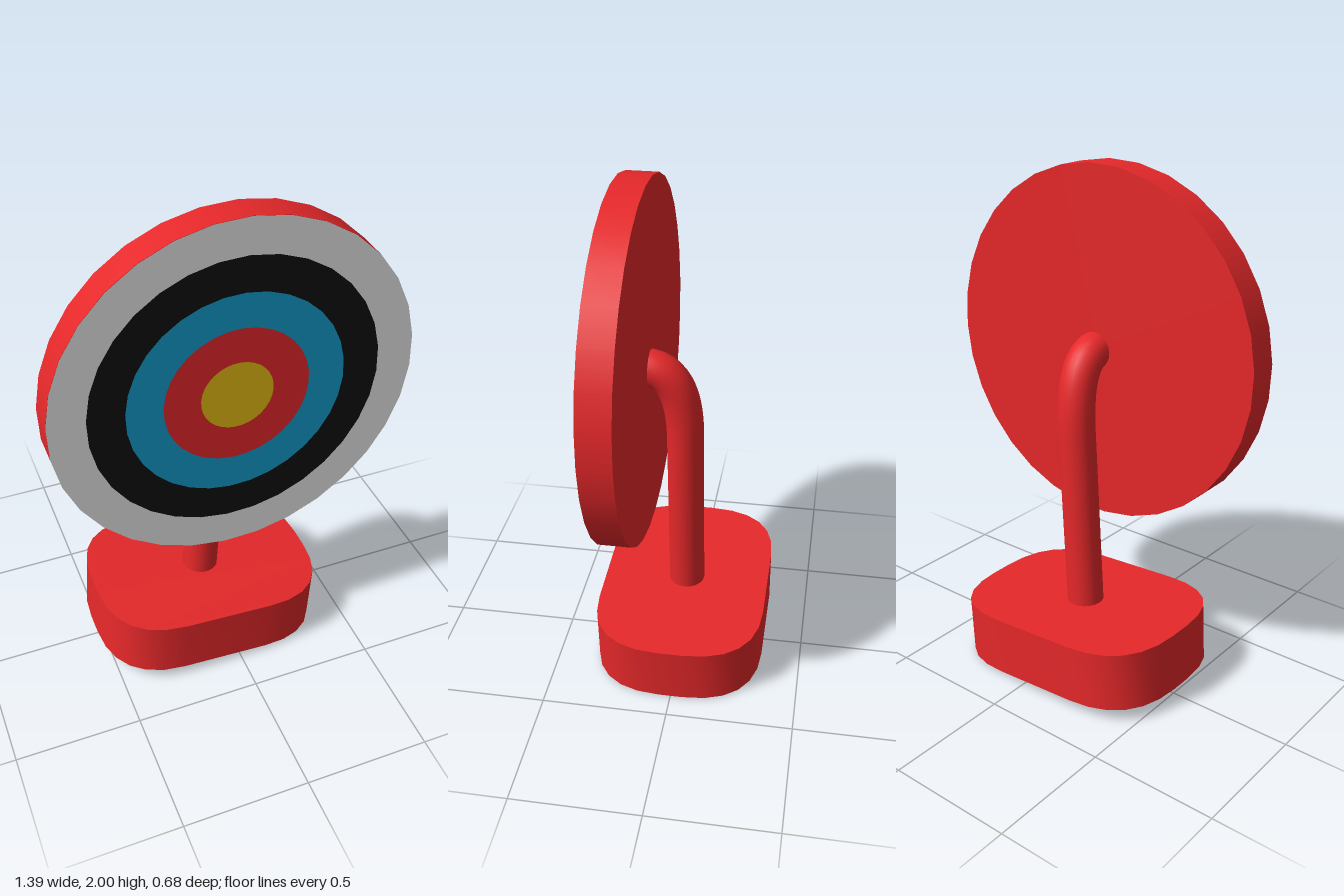
import * as THREE from 'three';
import { toCreasedNormals } from 'three/addons/utils/BufferGeometryUtils.js';

const material = (name, color) => {
  const m = new THREE.MeshStandardMaterial({ color });
  m.name = name;
  return m;
};

function addMesh(parent, name, geometry, mat) {
  const mesh = new THREE.Mesh(geometry, mat);
  mesh.name = name;
  parent.add(mesh);
  return mesh;
}

// Rectangle with wide, soft corners
function baseShape(w, d, rx, rz) {
  const s = new THREE.Shape();
  s.moveTo(-w + rx, -d);
  s.lineTo(w - rx, -d);
  s.quadraticCurveTo(w, -d, w, -d + rz);
  s.lineTo(w, d - rz);
  s.quadraticCurveTo(w, d, w - rx, d);
  s.lineTo(-w + rx, d);
  s.quadraticCurveTo(-w, d, -w, d - rz);
  s.lineTo(-w, -d + rz);
  s.quadraticCurveTo(-w, -d, -w + rx, -d);
  return s;
}

export function createModel() {
  const red = material('red', 0xe6282a);
  const white = material('white', 0xe6e6e6);
  const black = material('black', 0x0f0f0f);
  const blue = material('blue', 0x119bc9);
  const gold = material('gold', 0xe4bb14);

  const model = new THREE.Group();
  model.name = 'archeryTarget';
  const tilt = -0.0645;

  // Leaning stand: base block and bent post
  const stand = new THREE.Group();
  stand.name = 'stand';
  stand.position.set(-0.061, 0.152, 0);
  stand.rotation.z = tilt;
  model.add(stand);

  const height = 0.236;
  const block = new THREE.ExtrudeGeometry(baseShape(0.466, 0.341, 0.286, 0.295), {
    depth: height, bevelEnabled: false, curveSegments: 6,
  });
  block.rotateX(-Math.PI / 2).translate(0, -height / 2, 0);
  addMesh(stand, 'base', toCreasedNormals(block, 0.5), red);

  const path = new THREE.CurvePath();
  const v = (y, z) => new THREE.Vector3(0, y, z);
  path.add(new THREE.LineCurve3(v(0.08, 0), v(0.84, 0)));
  path.add(new THREE.QuadraticBezierCurve3(v(0.84, 0), v(1.14, 0), v(1.14, 0.15)));
  addMesh(stand, 'post', new THREE.TubeGeometry(path, 48, 0.073, 20, false), red);

  // Round target board
  const board = new THREE.Group();
  board.name = 'board';
  board.position.set(0, 1.305, 0);
  board.rotation.z = tilt;
  model.add(board);

  const disc = new THREE.CylinderGeometry(0.696, 0.696, 0.124, 32);
  disc.rotateX(Math.PI / 2).translate(0, 0, 0.192);
  addMesh(board, 'disc', disc, red);

  // Coloured scoring rings, from the centre outwards
  const step = 0.139;
  [['goldCentre', gold], ['redRing', red], ['blueRing', blue], ['blackRing', black], ['whiteRing', white]]
    .forEach(([name, mat], i) => {
      const outer = i === 4 ? 0.696 : step * (i + 1);
      const ring = i === 0
        ? new THREE.CircleGeometry(outer, 32, Math.PI / 2)
        : new THREE.RingGeometry(step * i, outer, 32, 1, Math.PI / 2);
      addMesh(board, name, ring, mat).position.z = 0.256;
    });

  return model;
}
